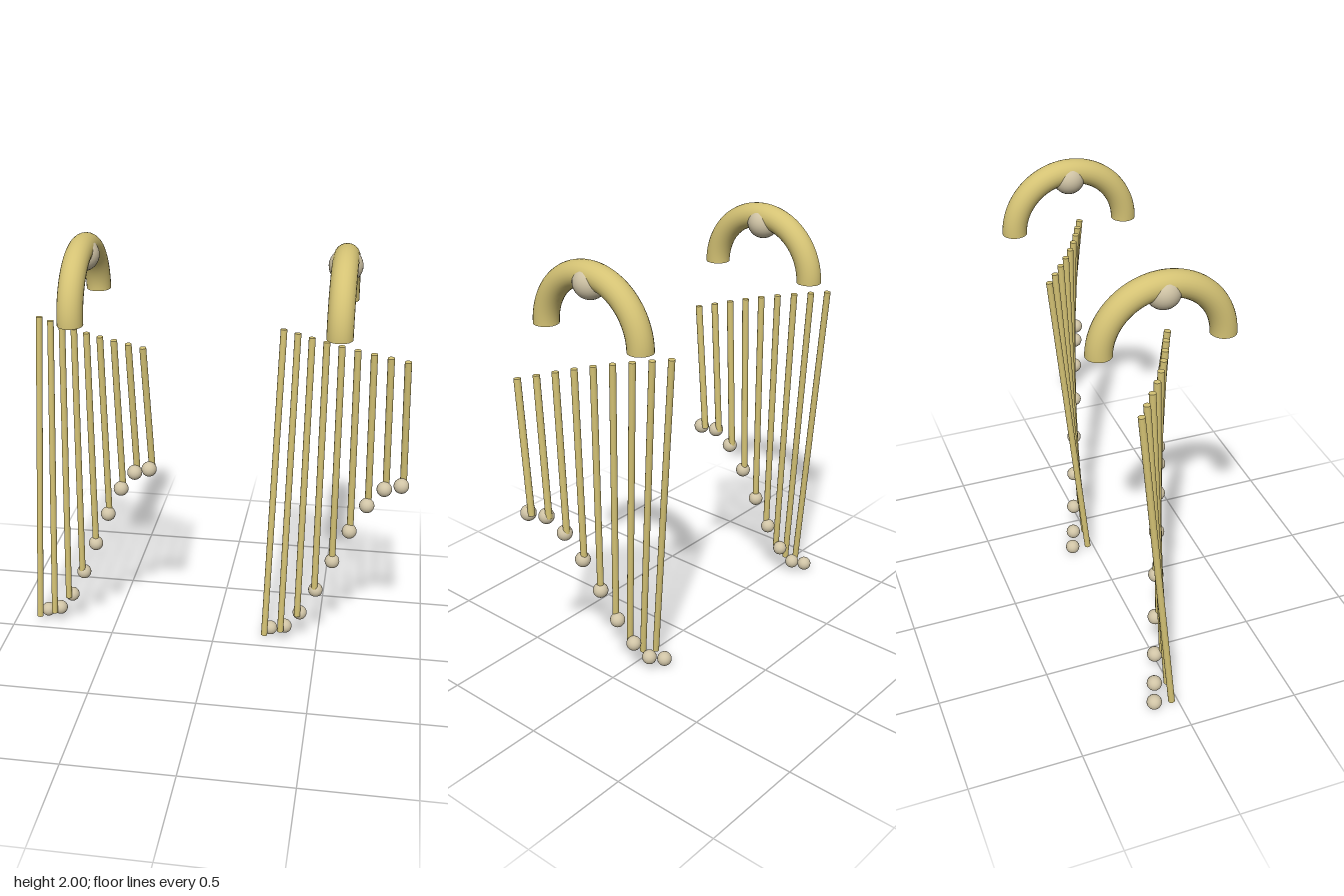
import * as THREE from 'three';

const gold = new THREE.MeshStandardMaterial({ name: 'gold', color: 0xd4c274 });
const pearl = new THREE.MeshStandardMaterial({ name: 'pearl', color: 0xd0c4a6 });

const ROD_TOP = 1.56;

function addMesh(parent, name, geometry, material, x, y, z) {
  const mesh = new THREE.Mesh(geometry, material);
  mesh.name = name;
  mesh.position.set(x, y, z);
  parent.add(mesh);
  return mesh;
}

function createEarring(name, x) {
  const earring = new THREE.Group();
  earring.name = name;
  earring.position.x = x;

  // Half-ring hook with closed ends
  const hook = new THREE.TorusGeometry(0.26, 0.055, 24, 48, Math.PI).rotateY(Math.PI / 2);
  addMesh(earring, 'hook', hook, gold, 0, 1.685, 0);
  const cap = new THREE.CircleGeometry(0.055, 24).rotateX(Math.PI / 2);
  for (const side of [-1, 1]) addMesh(earring, 'hookEnd', cap, gold, 0, 1.685, side * 0.26);

  // Bead set into the top of the hook
  addMesh(earring, 'hookBead', new THREE.SphereGeometry(0.072, 32, 20), pearl, 0, 1.915, 0);

  // Fan of nine hanging rods, each with a bead; lengths follow a sine curve
  const bead = new THREE.SphereGeometry(0.034, 20, 14);
  const up = new THREE.Vector3(0, 1, 0);
  for (let i = -4; i <= 4; i++) {
    const px = 0.0725 * i;
    const pz = 0.0285 * i;
    const beadY = 0.503 + 0.468 * Math.sin((i * Math.PI) / 8);
    const length = ROD_TOP - beadY;
    const rod = addMesh(earring, 'rod', new THREE.CylinderGeometry(0.015, 0.015, length, 12),
      gold, px, beadY + length / 2, pz);
    const lean = new THREE.Vector3(-0.0074 * i, 1, 0.024 * i).normalize();
    rod.quaternion.setFromUnitVectors(up, lean);
    addMesh(earring, 'rodBead', bead, pearl, px, beadY, pz);
  }
  return earring;
}

export function createModel() {
  const model = new THREE.Group();
  model.name = 'earringPair';
  model.add(createEarring('rightEarring', -0.56), createEarring('leftEarring', 0.56));
  return model;
}
